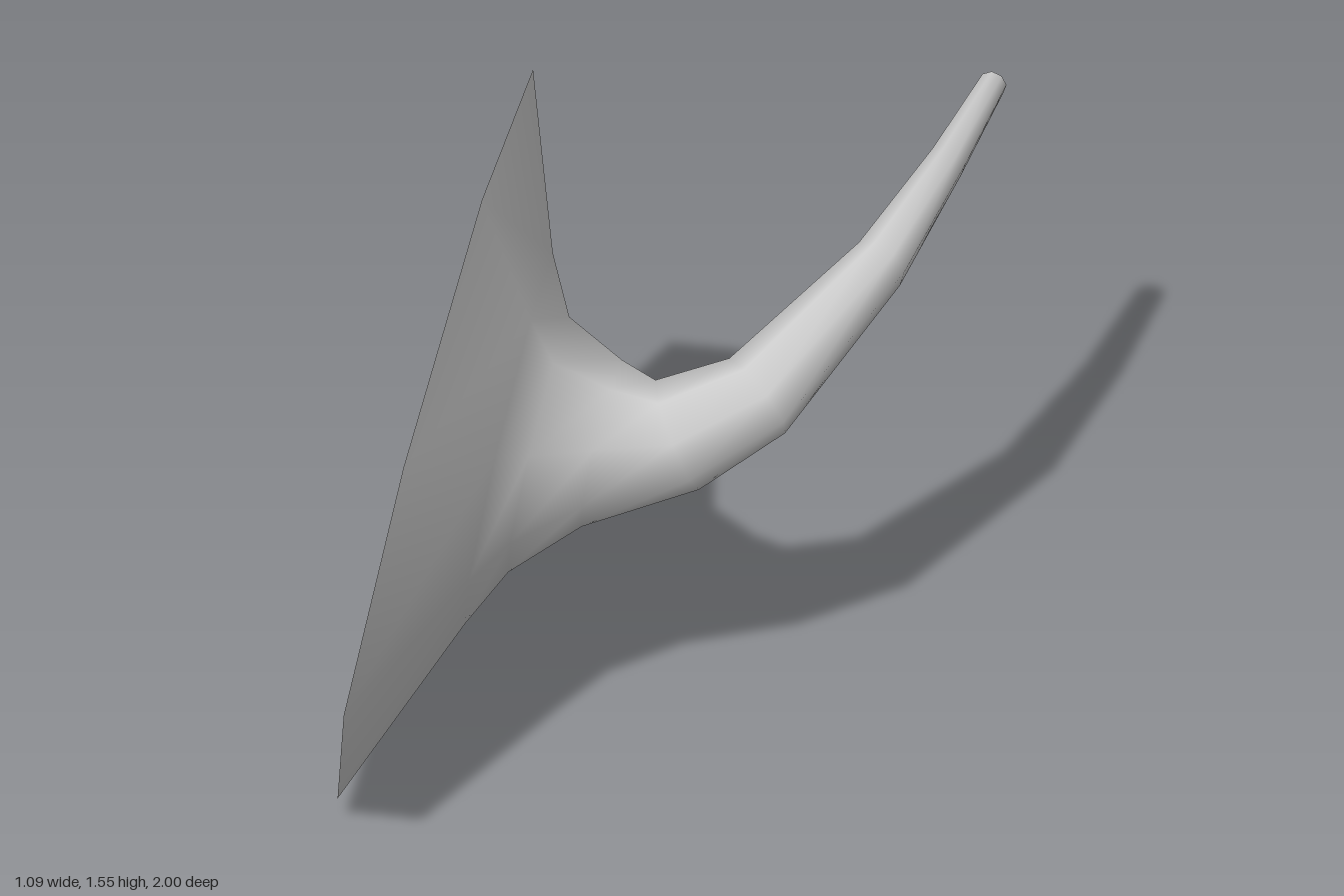
import * as THREE from 'three';

const SIDES = 8;

// Cross-sections from the mouth to the mouthpiece: centre, radius, facing direction
const RINGS = [
  { c: [-0.375, 0.775, 0.215], r: 0.823, n: [0.976, -0.19, -0.11] },
  { c: [-0.22, 0.77, 0.175], r: 0.415, n: [0.976, -0.17, -0.135] },
  { c: [-0.157, 0.757, 0.16], r: 0.286, n: [0.976, -0.17, -0.13] },
  { c: [-0.025, 0.765, 0.125], r: 0.187, n: [0.97, -0.16, -0.11] },
  { c: [0.135, 0.795, 0.087], r: 0.129, n: [0.86, 0.37, -0.35] },
  { c: [0.29, 0.875, 0.003], r: 0.102, n: [0.6, 0.42, -0.68] },
  { c: [0.46, 1.04, -0.335], r: 0.065, n: [0.28, 0.2, -0.94] },
  { c: [0.5, 1.092, -0.69], r: 0.043, n: [0.08, 0.04, -1] },
  { c: [0.505, 1.102, -1], r: 0.031, n: [0, 0, -1] },
];

// Skin the rings, carrying the first corner's direction along without twist
function loftRings(rings, firstCorner) {
  const positions = [];
  const index = [];
  const u = firstCorner.clone();
  rings.forEach(({ c, r, n }, i) => {
    const centre = new THREE.Vector3(...c);
    const normal = new THREE.Vector3(...n).normalize();
    u.addScaledVector(normal, -u.dot(normal)).normalize();
    const v = normal.clone().cross(u);
    for (let j = 0; j < SIDES; j++) {
      const angle = (j / SIDES) * Math.PI * 2;
      const p = centre.clone()
        .addScaledVector(u, Math.cos(angle) * r)
        .addScaledVector(v, Math.sin(angle) * r);
      positions.push(p.x, p.y, p.z);
      if (i === rings.length - 1) continue;
      const a = i * SIDES + j;
      const b = i * SIDES + ((j + 1) % SIDES);
      index.push(a, b, a + SIDES, b, b + SIDES, a + SIDES);
    }
  });
  const geometry = new THREE.BufferGeometry();
  geometry.setAttribute('position', new THREE.Float32BufferAttribute(positions, 3));
  geometry.setIndex(index);
  geometry.computeVertexNormals();
  return geometry;
}

export function createModel() {
  const group = new THREE.Group();
  group.name = 'horn';

  // Flared bell and curved tube, open at both ends
  const material = new THREE.MeshStandardMaterial({ color: 0xcccccc, side: THREE.DoubleSide });
  const horn = new THREE.Mesh(loftRings(RINGS, new THREE.Vector3(0.175, 0.775, 0.215)), material);
  horn.name = 'hornShell';
  group.add(horn);

  return group;
}
